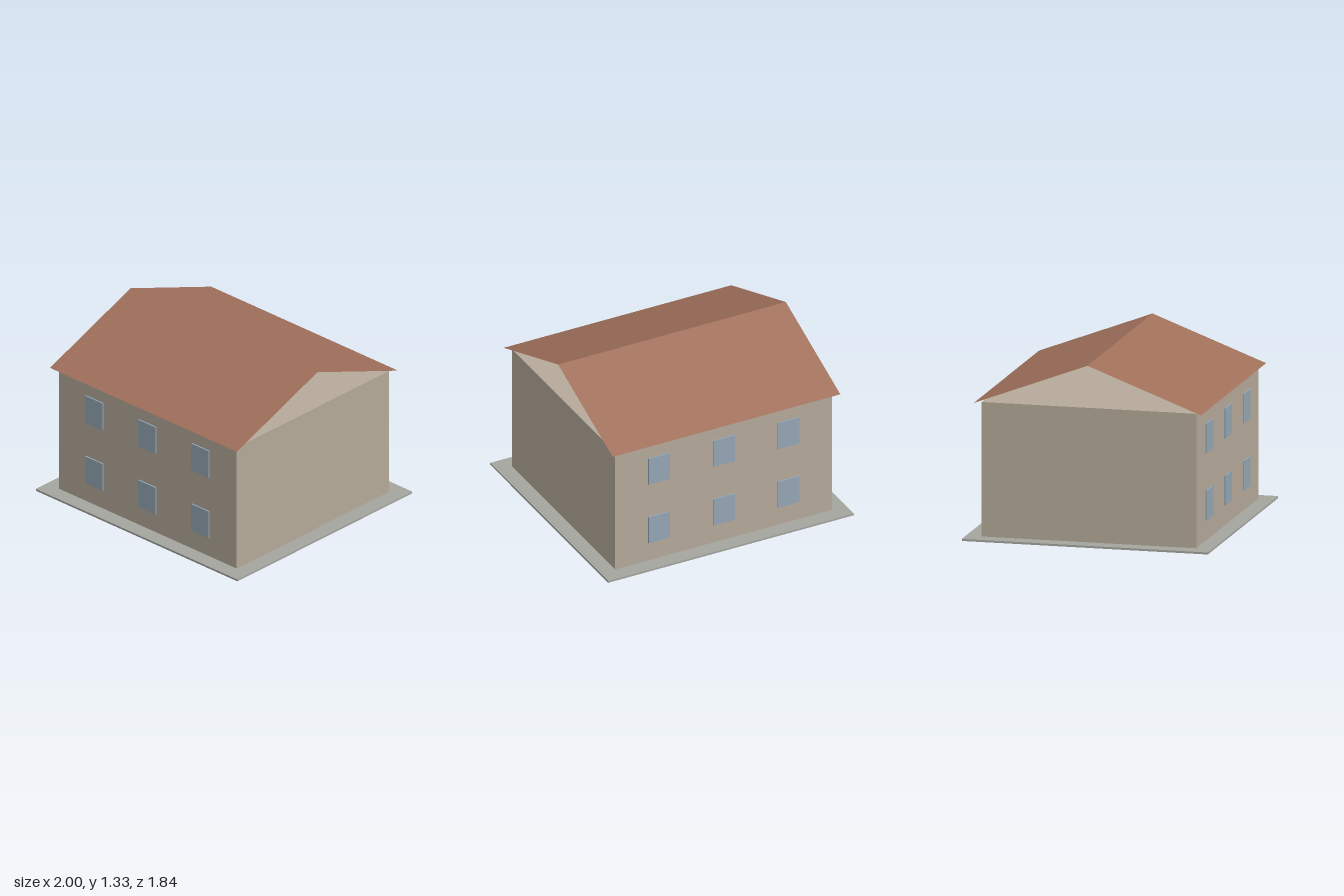
import * as THREE from 'three';

const material = (color, side = THREE.FrontSide) => new THREE.MeshStandardMaterial({ color, side });

export function createModel() {
  const house = new THREE.Group();
  house.name = 'house';

  const slabMat = material(0xa5a5a0);
  const wallMat = material(0xb5a999);
  const roofMat = material(0xa0705a, THREE.DoubleSide);
  const glassMat = material(0x94a6b4);

  const addBox = (name, mat, size, position) => {
    const mesh = new THREE.Mesh(new THREE.BoxGeometry(...size), mat);
    mesh.name = name;
    mesh.position.set(...position);
    house.add(mesh);
  };

  // Ground slab and wall block
  const slabH = 0.015, wallTop = 1.007;
  addBox('groundSlab', slabMat, [2, slabH, 1.835], [0, slabH / 2, 0]);
  addBox('walls', wallMat, [1.764, wallTop - slabH, 1.6], [0, (wallTop + slabH) / 2, 0]);

  // Two thin roof slopes meeting at the ridge, with open gable ends
  const eaveY = 1.007, ridgeY = 1.327, eaveZ = 0.847, roofWidth = 1.854;
  const slopeLength = Math.hypot(eaveZ, ridgeY - eaveY);
  const tilt = Math.atan2(eaveZ, ridgeY - eaveY);
  for (const side of [1, -1]) {
    const slope = new THREE.Mesh(new THREE.PlaneGeometry(roofWidth, slopeLength), roofMat);
    slope.name = side > 0 ? 'frontRoofSlope' : 'backRoofSlope';
    slope.rotation.order = 'YXZ';
    slope.rotation.set(-tilt, side > 0 ? 0 : Math.PI, 0);
    slope.position.set(0, (eaveY + ridgeY) / 2, side * eaveZ / 2);
    house.add(slope);
  }

  // Two rows of three windows, front and back
  for (const side of [1, -1])
    for (const y of [0.275, 0.771])
      for (const x of [-0.527, 0, 0.527])
        addBox(side > 0 ? 'frontWindow' : 'backWindow', glassMat, [0.174, 0.22, 0.022], [x, y, side * 0.8]);

  return house;
}
